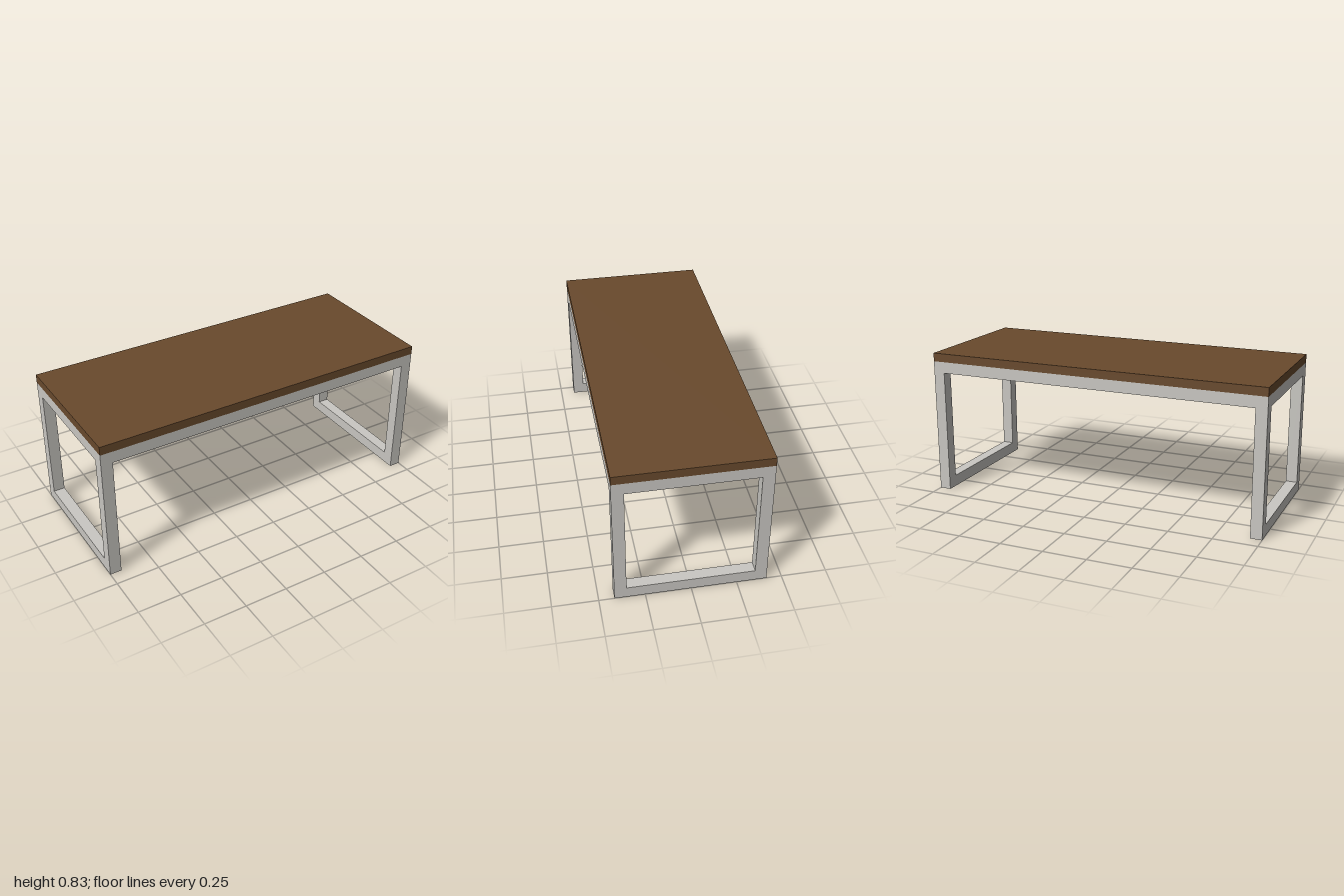
import * as THREE from 'three';

const HALF_X = 1, HALF_Z = 0.416; // overall half width and half depth
const BAR = 0.066;                // square tube size
const FRAME_H = 0.785, TOP_H = 0.834;

function rectangle(path, x0, y0, x1, y1) {
  path.moveTo(x0, y0);
  path.lineTo(x1, y0);
  path.lineTo(x1, y1);
  path.lineTo(x0, y1);
  path.closePath();
  return path;
}

export function createModel() {
  const wood = new THREE.MeshStandardMaterial({ color: 0x694a2d });
  wood.name = 'brown wood';
  const metal = new THREE.MeshStandardMaterial({ color: 0xcac8c3 });
  metal.name = 'light grey metal';

  const group = new THREE.Group();
  group.name = 'table';
  const add = (name, geometry, material, x, y, z) => {
    const mesh = new THREE.Mesh(geometry, material);
    mesh.name = name;
    mesh.position.set(x, y, z);
    group.add(mesh);
  };

  // Table top
  const topThickness = TOP_H - FRAME_H;
  add('tableTop', new THREE.BoxGeometry(2 * HALF_X, topThickness, 2 * HALF_Z),
    wood, 0, FRAME_H + topThickness / 2, 0);

  // Closed rectangular leg frame, extruded along x
  const outline = rectangle(new THREE.Shape(), -HALF_Z, 0, HALF_Z, FRAME_H);
  outline.holes.push(rectangle(new THREE.Path(),
    -HALF_Z + BAR, BAR, HALF_Z - BAR, FRAME_H - BAR));
  const legFrame = new THREE.ExtrudeGeometry(outline, { depth: BAR, bevelEnabled: false });
  legFrame.translate(0, 0, -BAR / 2);
  legFrame.rotateY(Math.PI / 2);

  // Long rail joining the two leg frames
  const rail = new THREE.BoxGeometry(2 * (HALF_X - BAR), BAR, BAR);

  for (const side of [1, -1]) {
    add(side > 0 ? 'leftLegFrame' : 'rightLegFrame', legFrame, metal,
      side * (HALF_X - BAR / 2), 0, 0);
    add(side > 0 ? 'frontRail' : 'backRail', rail, metal,
      0, FRAME_H - BAR / 2, side * (HALF_Z - BAR / 2));
  }
  return group;
}
